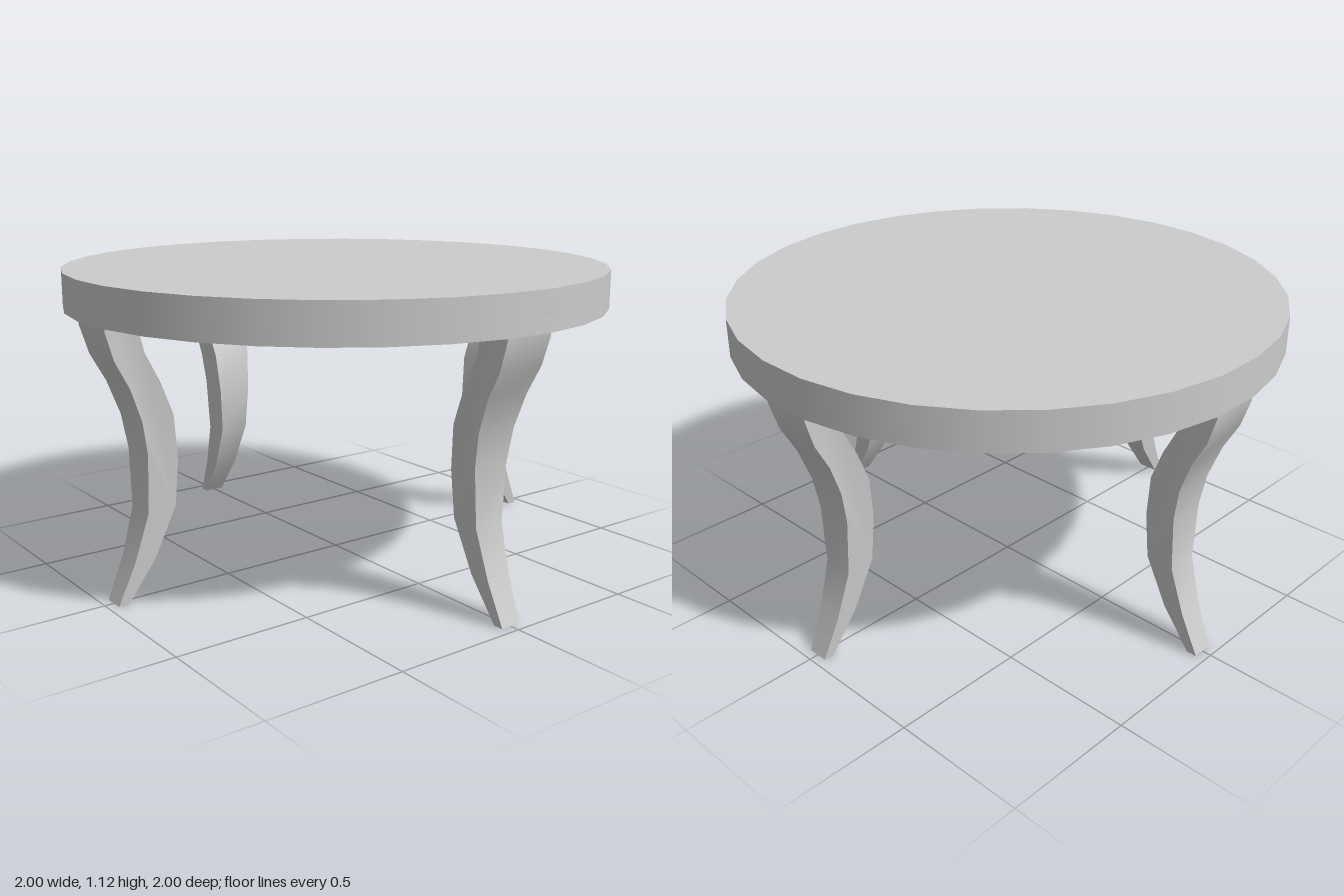
import * as THREE from 'three';
import { toCreasedNormals } from 'three/addons/utils/BufferGeometryUtils.js';

const TOP = 1.12, UNDER = 0.98;

// Half width of a leg at height y, tapering towards the foot
const widths = [[0, 0.04], [0.32, 0.059], [0.53, 0.072], [0.8, 0.09], [1, 0.097], [TOP, 0.097]];
function halfWidth(y) {
  for (let i = 1; i < widths.length; i++) {
    const [y0, w0] = widths[i - 1], [y1, w1] = widths[i];
    if (y <= y1 + 1e-6) return w0 + (w1 - w0) * (y - y0) / (y1 - y0);
  }
  return widths[widths.length - 1][1];
}

// Curved side profile (radius, height), extruded and then tapered
function legGeometry() {
  const outer = [[0.965, 0], [0.9, 0.15], [0.848, 0.32], [0.848, 0.53], [0.868, 0.65],
    [0.912, 0.77], [0.967, 0.87], [0.998, 0.97], [1, 1.04], [1, TOP]];
  const inner = [[0.88, TOP], [0.88, 0.98], [0.858, 0.89], [0.8, 0.78], [0.75, 0.66],
    [0.733, 0.5], [0.742, 0.33], [0.822, 0.15], [0.927, 0]];
  const shape = new THREE.Shape([...outer, ...inner].map(([r, y]) => new THREE.Vector2(r, y)));
  const g = new THREE.ExtrudeGeometry(shape, { depth: 2, bevelEnabled: false });
  const p = g.attributes.position;
  for (let i = 0; i < p.count; i++) p.setZ(i, (p.getZ(i) - 1) * halfWidth(p.getY(i)));
  return toCreasedNormals(g, 0.7);
}

export function createModel() {
  const table = new THREE.Group();
  table.name = 'roundTable';
  const material = new THREE.MeshStandardMaterial({ color: 0xcccccc });

  // Round top, turned so a flat facet meets each leg
  const radius = 1 / Math.cos(Math.PI / 32);
  const disc = new THREE.CylinderGeometry(radius, radius, TOP - UNDER, 32);
  disc.rotateY(Math.PI / 32);
  const top = new THREE.Mesh(disc, material);
  top.name = 'tableTop';
  top.position.y = (TOP + UNDER) / 2;
  table.add(top);

  // Four curved legs, one on each axis
  const legShape = legGeometry();
  ['leftLeg', 'backLeg', 'rightLeg', 'frontLeg'].forEach((name, i) => {
    const leg = new THREE.Mesh(legShape, material);
    leg.name = name;
    leg.rotation.y = i * Math.PI / 2;
    table.add(leg);
  });
  return table;
}
